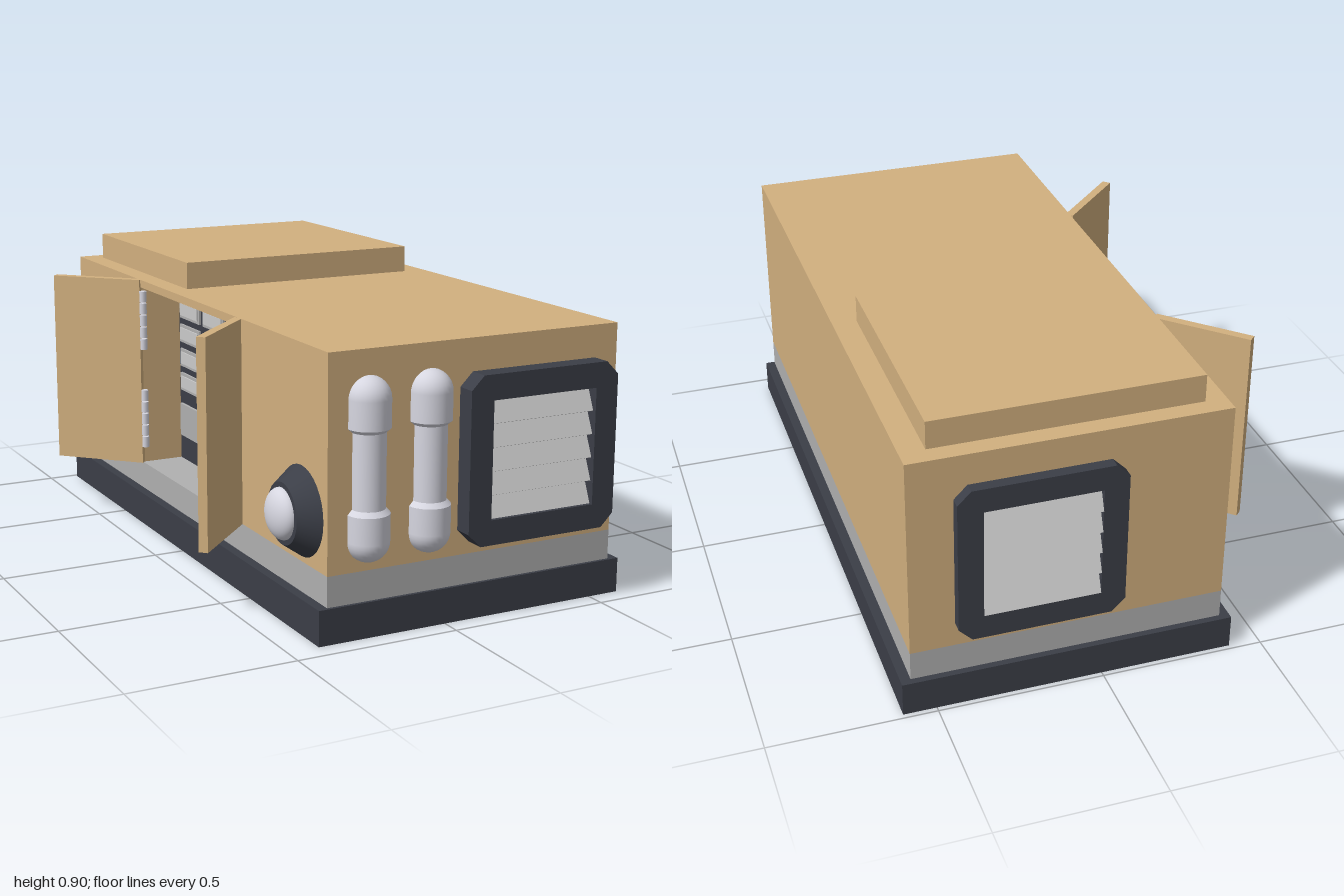
import * as THREE from 'three';

const mat = (color) => new THREE.MeshStandardMaterial({ color });
const tan = mat(0xd2b07f), dark = mat(0x3b3e47), grey = mat(0xb0b0b0);
const chrome = mat(0xd6d6e0), violet = mat(0x5a5a80), slatMat = mat(0xc0c0c0);
slatMat.side = THREE.DoubleSide;

function add(parent, name, geometry, material, x = 0, y = 0, z = 0) {
  const m = new THREE.Mesh(geometry, material);
  m.name = name;
  m.position.set(x, y, z);
  parent.add(m);
  return m;
}

// Box given by its lower and upper limits on each axis
function span(parent, name, material, x0, x1, y0, y1, z0, z1) {
  const g = new THREE.BoxGeometry(x1 - x0, y1 - y0, z1 - z0);
  return add(parent, name, g, material, (x0 + x1) / 2, (y0 + y1) / 2, (z0 + z1) / 2);
}

function polygon(points, Type = THREE.Shape) {
  return new Type(points.map(([x, y]) => new THREE.Vector2(x, y)));
}

// Chamfered frame with tilted louvre slats, facing +z from its origin
function makeVent(depth) {
  const vent = new THREE.Group();
  const a = 0.247, c = 0.207, w = 0.173;
  const frame = polygon([[-c, -a], [c, -a], [a, -c], [a, c], [c, a], [-c, a], [-a, c], [-a, -c]]);
  frame.holes.push(polygon([[-w, -w], [-w, w], [w, w], [w, -w]], THREE.Path));
  add(vent, 'ventFrame', new THREE.ExtrudeGeometry(frame, { depth, bevelEnabled: false }), dark);
  span(vent, 'ventBacking', dark, -w, w, -w, w, 0, 0.003);
  const pitch = 2 * w / 5;
  for (let i = 0; i < 5; i++) {
    const slat = add(vent, 'ventSlat', new THREE.BoxGeometry(2 * w, 0.078, 0.006), slatMat,
      0, -w + pitch * (i + 0.5), depth * 0.5);
    slat.rotation.x = -0.4;
  }
  return vent;
}

// Upright pipe with wider rounded caps
function pipeGeometry() {
  const pts = [], R = 0.063, r = 0.05;
  for (let i = 0; i <= 8; i++) {
    const t = i / 8 * Math.PI / 2;
    pts.push(new THREE.Vector2(R * Math.sin(t), 0.284 - R * Math.cos(t)));
  }
  for (const [px, py] of [[R, 0.362], [R, 0.362], [r, 0.376], [r, 0.376], [r, 0.592], [r, 0.592], [R, 0.603], [R, 0.603]])
    pts.push(new THREE.Vector2(px, py));
  for (let i = 0; i <= 8; i++) {
    const t = i / 8 * Math.PI / 2;
    pts.push(new THREE.Vector2(R * Math.cos(t), 0.684 + R * Math.sin(t)));
  }
  return new THREE.LatheGeometry(pts, 28);
}

export function createModel() {
  const model = new THREE.Group();
  const X0 = -0.375, X1 = 0.57, Z0 = -0.965, Z1 = 0.93, D0 = -0.4, D1 = 0.36, XI = -0.22;

  // Base and skirt
  span(model, 'base', dark, -0.405, 0.6, 0, 0.105, -0.985, 0.94);
  span(model, 'skirt', grey, X0, X1, 0.105, 0.195, Z0, Z1);

  // Housing with a bay cut into the side; plan drawn as (x, -z)
  const plan = polygon([[X0, -Z1], [X1, -Z1], [X1, -Z0], [X0, -Z0],
    [X0, -D0], [XI, -D0], [XI, -D1], [X0, -D1]]);
  const walls = new THREE.ExtrudeGeometry(plan, { depth: 0.6, bevelEnabled: false });
  add(model, 'housing', walls.rotateX(-Math.PI / 2), tan, 0, 0.195, 0);
  span(model, 'roof', tan, X0, X1, 0.795, 0.82, Z0, Z1);
  span(model, 'roofUnit', tan, -0.31, 0.495, 0.82, 0.905, -0.908, -0.153);

  // Equipment panel inside the bay
  const bay = new THREE.Group();
  bay.name = 'equipmentBay';
  model.add(bay);
  span(bay, 'bayPanel', dark, XI, XI + 0.01, 0.195, 0.795, D0, D1);
  bay.children[0].position.x -= 0.013;
  const face = XI - 0.008;
  for (let c = 0; c < 4; c++) {
    const z = 0.26 - c * 0.187;
    for (const y of [0.715, 0.633, 0.55, 0.467]) {
      span(bay, 'module', grey, face - 0.012, face, y - 0.03, y + 0.03, z - 0.08, z + 0.08);
      span(bay, 'moduleInset', slatMat, face - 0.016, face - 0.012, y - 0.02, y + 0.02, z - 0.07, z + 0.07);
    }
  }
  for (const z of [0.165, -0.208])
    span(bay, 'largeModule', grey, face - 0.015, face, 0.28, 0.39, z - 0.173, z + 0.173);

  // Open doors swung 45 degrees outward, with barrel hinges
  for (const [s, z] of [[-1, D0], [1, D1 + 0.01]]) {
    const door = new THREE.Group();
    door.name = s < 0 ? 'rearDoor' : 'frontDoor';
    door.position.set(X0, 0, z);
    door.rotation.y = -s * Math.PI / 4;
    model.add(door);
    add(door, 'doorLeaf', new THREE.BoxGeometry(0.028, 0.625, 0.31), tan, 0, 0.5075, s * 0.15);
    for (const y of [0.685, 0.35]) {
      for (let i = -2; i <= 2; i++)
        add(model, 'hingeKnuckle', new THREE.CylinderGeometry(0.012, 0.012, 0.036, 12), chrome,
          X0 + 0.004, y + i * 0.04, z - s * 0.018);
    }
  }

  // Small access hatch with two latches
  span(model, 'hatchSeam', dark, X0 - 0.001, X0 + 0.01, 0.245, 0.75, -0.855, -0.54);
  span(model, 'accessHatch', tan, X0 - 0.003, X0 + 0.01, 0.249, 0.746, -0.851, -0.544);
  for (const y of [0.6, 0.37]) {
    span(model, 'latchPlate', violet, X0 - 0.012, X0, y - 0.058, y + 0.058, -0.885, -0.83);
    span(model, 'latchHandle', dark, X0 - 0.018, X0 - 0.012, y - 0.04, y + 0.04, -0.87, -0.845);
  }

  // Side lamp: conical housing and domed lens
  const lamp = new THREE.Group();
  lamp.name = 'sideLamp';
  lamp.position.set(X0, 0.342, 0.775);
  lamp.rotation.z = Math.PI / 2;
  model.add(lamp);
  add(lamp, 'lampHousing', new THREE.CylinderGeometry(0.09, 0.132, 0.06, 32), dark, 0, 0.03, 0);
  const lens = add(lamp, 'lampLens', new THREE.SphereGeometry(0.075, 28, 10, 0, Math.PI * 2, 0, Math.PI / 2), chrome, 0, 0.06, 0);
  lens.scale.y = 0.55;

  // Front pipes
  for (const x of [-0.25, -0.056]) add(model, 'pipe', pipeGeometry(), chrome, x, 0, Z1);

  // Vents at both ends
  const frontVent = makeVent(0.06);
  frontVent.name = 'frontVent';
  frontVent.position.set(0.287, 0.477, Z1);
  const rearVent = makeVent(0.035);
  rearVent.name = 'rearVent';
  rearVent.position.set(0.19, 0.477, Z0);
  rearVent.rotation.y = Math.PI;
  model.add(frontVent, rearVent);

  return model;
}
